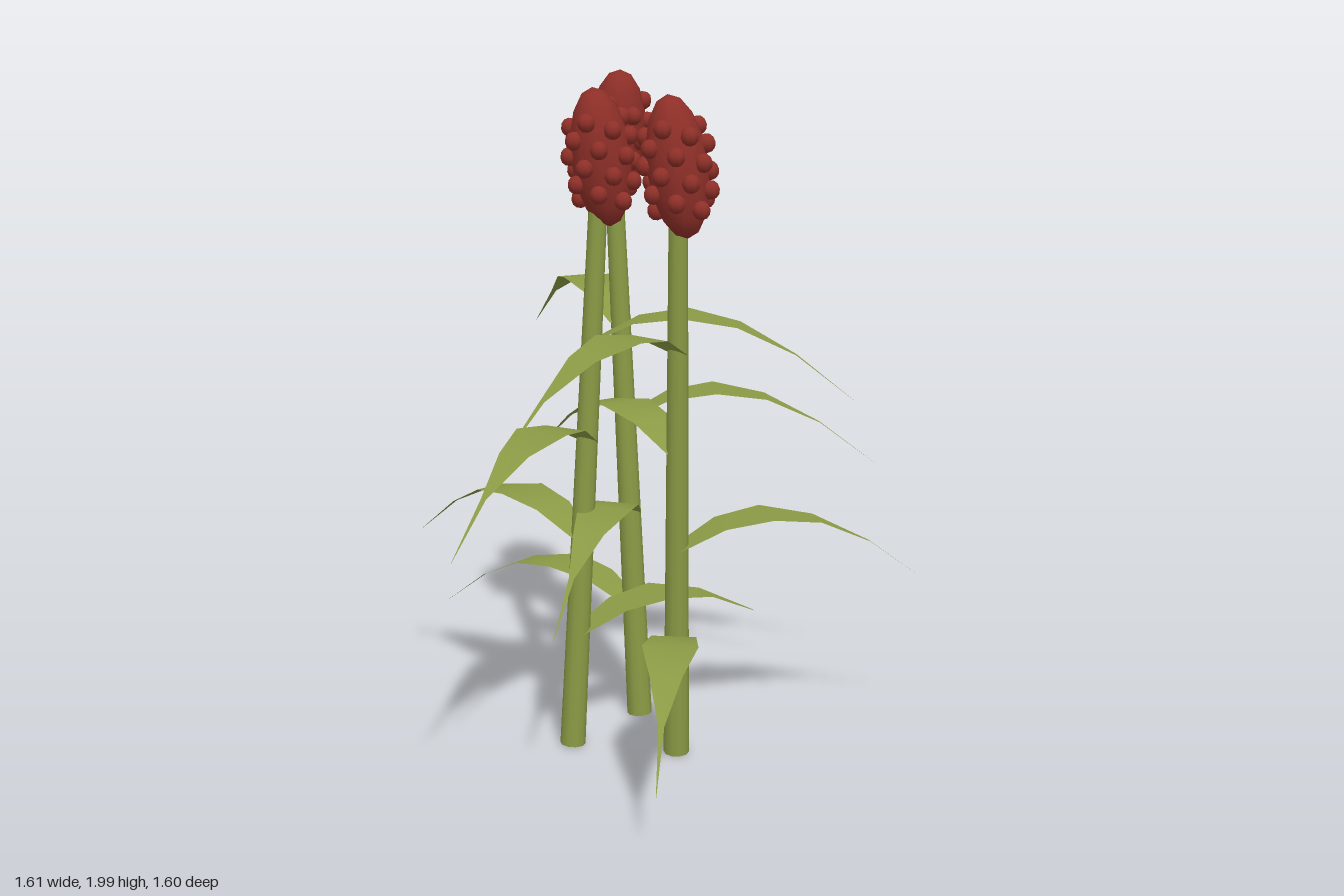
import * as THREE from 'three';

const leafGreen = new THREE.MeshStandardMaterial({ color: 0x8a9a45, side: THREE.DoubleSide });
leafGreen.name = 'leafGreen';
const seedRed = new THREE.MeshStandardMaterial({ color: 0x8e2f28 });
seedRed.name = 'seedRed';

const UP = new THREE.Vector3(0, 1, 0);
const STEM_TOP = 1.62;

// Arching blade: distance from stem, height above root, half width
const BLADE = [
  [0, 0, 0.035], [0.13, 0.068, 0.065], [0.27, 0.09, 0.08],
  [0.425, 0.062, 0.046], [0.59, -0.02, 0.008], [0.76, -0.15, 0.0005],
];

function makeLeafGeometry() {
  const positions = [];
  const index = [];
  BLADE.forEach(([d, h, w], i) => {
    positions.push(d, h, -w, d, h, w);
    if (i > 0) {
      const a = (i - 1) * 2;
      index.push(a, a + 1, a + 2, a + 1, a + 3, a + 2);
    }
  });
  const geometry = new THREE.BufferGeometry();
  geometry.setAttribute('position', new THREE.Float32BufferAttribute(positions, 3));
  geometry.setIndex(index);
  geometry.computeVertexNormals();
  return geometry;
}

// Oval seed head studded with berries in a spiral
function makeHead(coreGeometry, berryGeometry) {
  const head = new THREE.Group();
  head.name = 'seedHead';
  const core = new THREE.Mesh(coreGeometry, seedRed);
  core.name = 'headCore';
  core.scale.set(0.088, 0.2, 0.088);
  head.add(core);
  const count = 26;
  for (let i = 0; i < count; i++) {
    const v = -0.64 + (1.28 * i) / (count - 1);
    const angle = i * 2.4 + 0.5;
    const r = 0.09 * Math.sqrt(1 - v * v * 0.8);
    const berry = new THREE.Mesh(berryGeometry, seedRed);
    berry.name = 'berry';
    berry.position.set(Math.cos(angle) * r, v * 0.19, Math.sin(angle) * r);
    head.add(berry);
  }
  return head;
}

export function createModel() {
  const model = new THREE.Group();
  model.name = 'sorghumPlant';
  const leafGeometry = makeLeafGeometry();
  const coreGeometry = new THREE.SphereGeometry(1, 10, 8);
  const berryGeometry = new THREE.SphereGeometry(0.027, 8, 6);

  // Base and top of each stem (x, z), head centre, head tilt, first leaf angle
  const stalks = [
    { base: [-0.037, -0.24], top: [-0.128, -0.26], head: [-0.12, 1.795, -0.258], tilt: [0.1, 0.12], turn: 193 },
    { base: [-0.133, 0.06], top: [-0.072, 0], head: [-0.064, 1.77, -0.008], tilt: [-0.11, 0.07], turn: 313 },
    { base: [0.178, 0], top: [0.206, 0.086], head: [0.205, 1.772, 0.09], tilt: [-0.16, 0], turn: 73 },
  ];

  stalks.forEach(({ base, top, head, tilt, turn }) => {
    const stalk = new THREE.Group();
    stalk.name = 'stalk';

    // Tapered leaning stem
    const from = new THREE.Vector3(base[0], 0.002, base[1]);
    const to = new THREE.Vector3(top[0], STEM_TOP, top[1]);
    const axis = to.clone().sub(from);
    const stem = new THREE.Mesh(new THREE.CylinderGeometry(0.027, 0.038, axis.length(), 10), leafGreen);
    stem.name = 'stem';
    stem.position.copy(from).lerp(to, 0.5);
    stem.quaternion.setFromUnitVectors(UP, axis.normalize());
    stalk.add(stem);

    // Four leaves spiralling up the stem
    for (let i = 0; i < 4; i++) {
      const y = 0.355 + 0.295 * i;
      const leaf = new THREE.Mesh(leafGeometry, leafGreen);
      leaf.name = 'leaf';
      leaf.position.copy(from).lerp(to, y / STEM_TOP).setY(y);
      leaf.rotation.y = -THREE.MathUtils.degToRad(turn - 109 * i);
      stalk.add(leaf);
    }

    // Tilted seed head
    const seedHead = makeHead(coreGeometry, berryGeometry);
    seedHead.position.set(...head);
    seedHead.quaternion.setFromUnitVectors(UP, new THREE.Vector3(tilt[0], 1, tilt[1]).normalize());
    stalk.add(seedHead);
    model.add(stalk);
  });

  return model;
}
